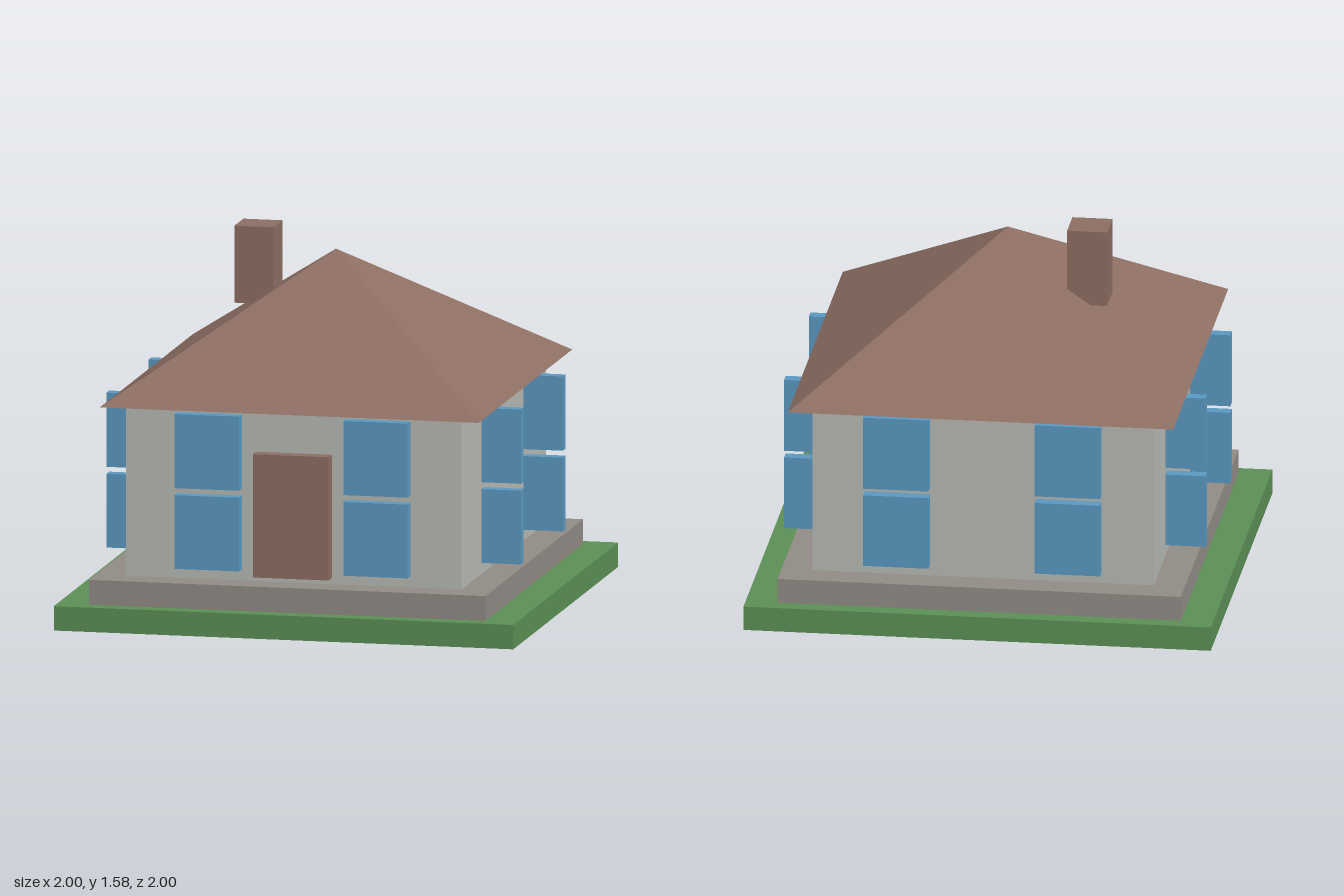
import * as THREE from 'three';

const paint = (name, color) => {
  const m = new THREE.MeshStandardMaterial({ color });
  m.name = name;
  return m;
};

export function createModel() {
  const house = new THREE.Group();
  house.name = 'house';
  const grass = paint('grass green', 0x5b8f55);
  const stone = paint('stone grey', 0x918b85);
  const plaster = paint('plaster grey', 0xb7b9b4);
  const brown = paint('roof brown', 0x8d6e63);
  const blue = paint('window blue', 0x5b98c0);

  // Box given by its lower and upper corners
  const box = (name, material, [x0, y0, z0], [x1, y1, z1], parent = house) => {
    const mesh = new THREE.Mesh(new THREE.BoxGeometry(x1 - x0, y1 - y0, z1 - z0), material);
    mesh.position.set((x0 + x1) / 2, (y0 + y1) / 2, (z0 + z1) / 2);
    mesh.name = name;
    parent.add(mesh);
  };

  // Ground, plinth and walls
  box('lawn', grass, [-1, 0, -1], [1, 0.105, 1]);
  box('foundation', stone, [-0.863, 0.105, -0.932], [0.863, 0.212, 0.932]);
  box('walls', plaster, [-0.73, 0.212, -0.802], [0.73, 0.95, 0.802]);

  // Closed pyramid roof: a four-sided cone turned square to the walls
  const roofShape = new THREE.ConeGeometry(Math.SQRT2, 0.56, 4, 1).toNonIndexed();
  roofShape.rotateY(Math.PI / 4);
  roofShape.scale(0.825, 1, 0.89);
  roofShape.computeVertexNormals();
  const roof = new THREE.Mesh(roofShape, brown);
  roof.name = 'roof';
  roof.position.y = 0.95 + 0.28;
  house.add(roof);

  // Chimney and front door
  box('chimney', brown, [-0.453, 1.25, -0.218], [-0.282, 1.582, -0.047]);
  box('door', brown, [-0.165, 0.238, 0.78], [0.165, 0.77, 0.861]);

  // Two rows of window blocks on all four walls
  const windows = new THREE.Group();
  windows.name = 'windows';
  house.add(windows);
  for (const [y0, y1] of [[0.26, 0.578], [0.608, 0.928]]) {
    for (const a of [-1, 1]) {
      for (const b of [-1, 1]) {
        const x = a * 0.367, z = b * 0.827;
        box('window', blue, [x - 0.14, y0, z - 0.027], [x + 0.14, y1, z + 0.027], windows);
        // Side blocks stand out from the wall edge-on
        const sx = a * 0.762, sz = b * 0.401;
        box('sideWindow', blue, [sx - 0.14, y0, sz - 0.026], [sx + 0.14, y1, sz + 0.026], windows);
      }
    }
  }
  return house;
}
